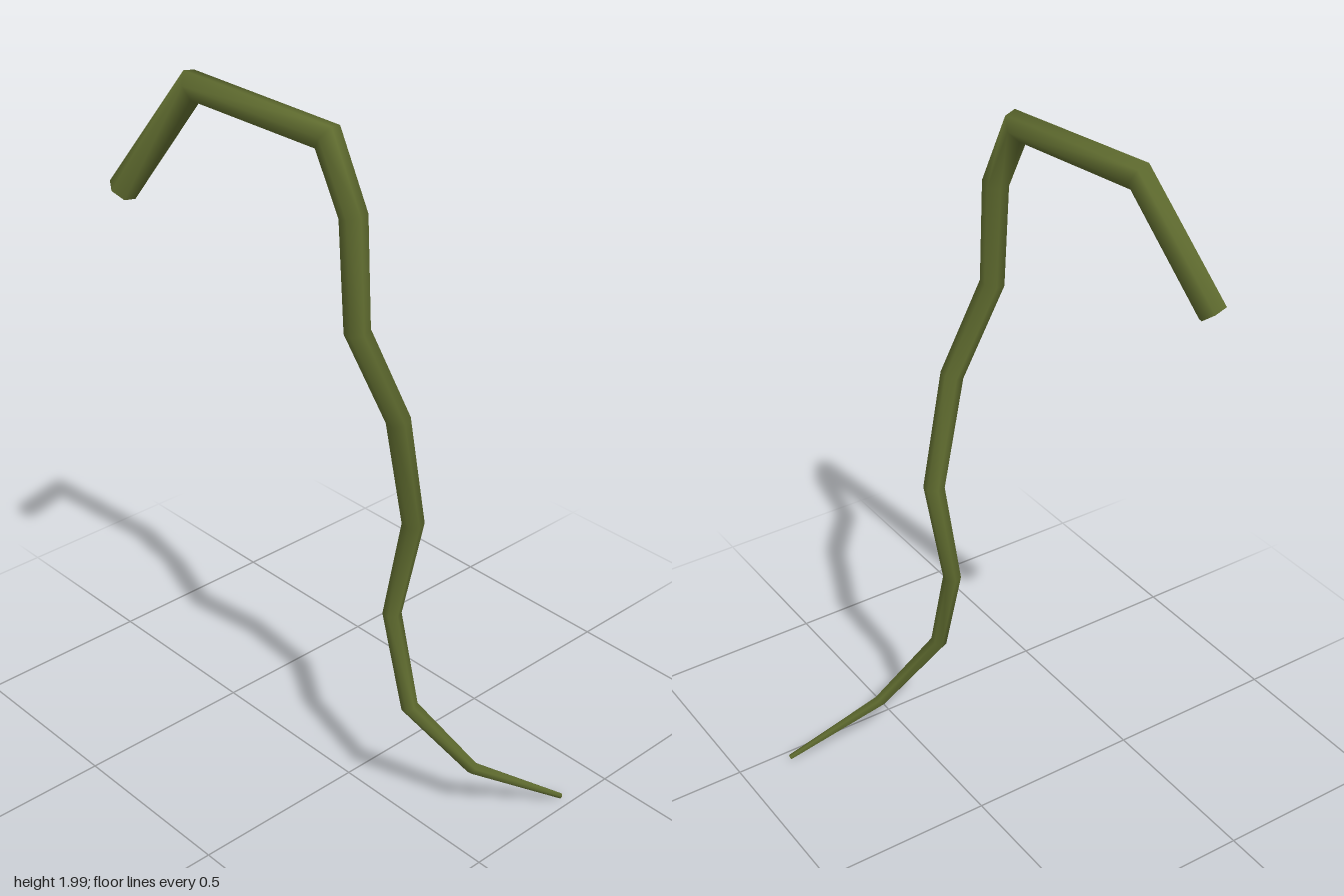
import * as THREE from 'three';

const SIDES = 6;

// Centreline of the vine from cut end to tip: x, y, z, radius
const PATH = [
  [-0.45, 1.68, 0.32, 0.037],
  [-0.272, 1.964, 0.235, 0.035],
  [0.145, 1.943, 0.197, 0.034],
  [0.213, 1.775, 0.183, 0.033],
  [0.226, 1.5, 0.183, 0.031],
  [0.26, 1.25, 0.083, 0.03],
  [0.25, 0.935, 0.017, 0.028],
  [0.206, 0.66, 0.042, 0.024],
  [0.27, 0.4, 0.037, 0.022],
  [0.367, 0.18, -0.104, 0.017],
  [0.47, 0.01, -0.35, 0.008],
];

// Rings of points, each cut along the mitre between its two segments
function makeRings() {
  const pts = PATH.map(([x, y, z]) => new THREE.Vector3(x, y, z));
  const dirs = pts.slice(1).map((p, i) => p.clone().sub(pts[i]).normalize());
  const u = new THREE.Vector3(0, 0, 1);
  return pts.map((p, i) => {
    const tin = dirs[Math.max(i - 1, 0)];
    const tout = dirs[Math.min(i, dirs.length - 1)];
    if (i > 0) u.applyQuaternion(new THREE.Quaternion().setFromUnitVectors(dirs[Math.max(i - 2, 0)], tin));
    u.addScaledVector(tin, -u.dot(tin)).normalize();
    const v = new THREE.Vector3().crossVectors(tin, u);
    const n = tin.clone().add(tout).normalize();
    return Array.from({ length: SIDES }, (_, k) => {
      const a = (k / SIDES) * Math.PI * 2;
      const o = u.clone().multiplyScalar(Math.cos(a)).addScaledVector(v, Math.sin(a));
      o.addScaledVector(tin, -o.dot(n) / tin.dot(n));
      return o.multiplyScalar(PATH[i][3]).add(p);
    });
  });
}

function meshFrom(name, points, index, material) {
  const g = new THREE.BufferGeometry().setFromPoints(points);
  g.setIndex(index);
  g.computeVertexNormals();
  const mesh = new THREE.Mesh(g, material);
  mesh.name = name;
  return mesh;
}

export function createModel() {
  const group = new THREE.Group();
  group.name = 'vine';
  const green = new THREE.MeshStandardMaterial({ color: 0x5f6b2f });
  green.name = 'vine green';
  const rings = makeRings();

  // Stem skin
  const index = [];
  for (let i = 0; i < rings.length - 1; i++) {
    for (let k = 0; k < SIDES; k++) {
      const a = i * SIDES + k;
      const b = i * SIDES + ((k + 1) % SIDES);
      index.push(a, b, a + SIDES, b, b + SIDES, a + SIDES);
    }
  }
  group.add(meshFrom('stem', rings.flat(), index, green));

  // Flat end faces
  const start = [];
  const end = [];
  for (let k = 1; k < SIDES - 1; k++) {
    start.push(0, k + 1, k);
    end.push(0, k, k + 1);
  }
  group.add(meshFrom('cutEnd', rings[0], start, green));
  group.add(meshFrom('tip', rings[rings.length - 1], end, green));
  return group;
}
